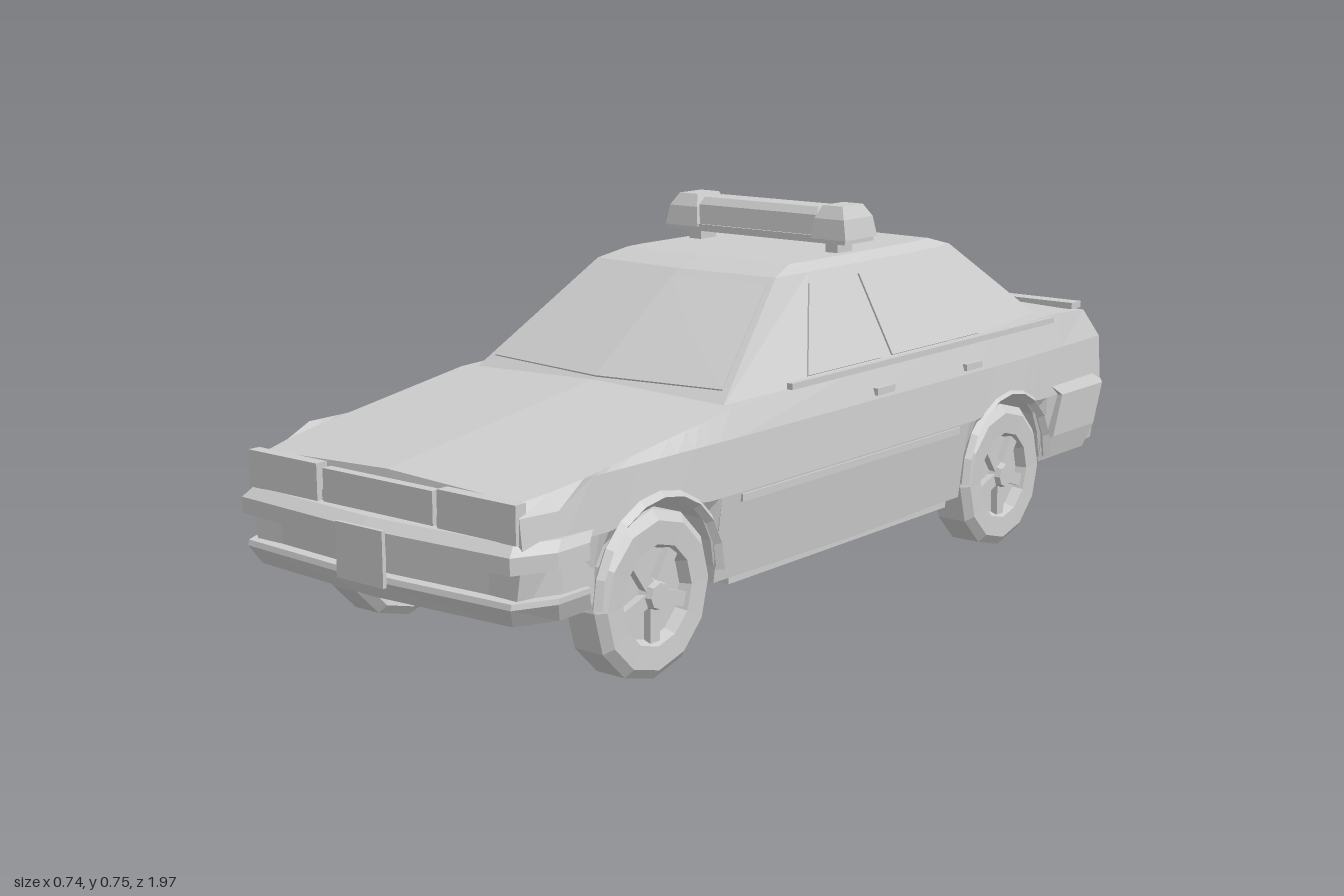
import * as THREE from 'three';

const paint = new THREE.MeshStandardMaterial({ color: 0xcccccc });
paint.name = 'light grey';

function add(parent, name, geometry, x = 0, y = 0, z = 0) {
  const flat = geometry.index ? geometry.toNonIndexed() : geometry;
  flat.computeVertexNormals();
  const mesh = new THREE.Mesh(flat, paint);
  mesh.name = name;
  mesh.position.set(x, y, z);
  parent.add(mesh);
  return mesh;
}

const box = (parent, name, w, h, d, x, y, z) => add(parent, name, new THREE.BoxGeometry(w, h, d), x, y, z);

// Closed solid through rings of [x, y, z]; winding is turned outward by its volume
function loft(rings) {
  const tris = [], n = rings[0].length;
  for (let i = 0; i < rings.length - 1; i++) {
    for (let j = 0; j < n; j++) {
      const k = (j + 1) % n;
      const a = rings[i][j], b = rings[i][k], c = rings[i + 1][k], d = rings[i + 1][j];
      tris.push([a, b, c], [a, c, d]);
    }
  }
  const cap = (ring, flip) => {
    const mid = [0, 1, 2].map(q => ring.reduce((s, p) => s + p[q], 0) / n);
    ring.forEach((p, j) => {
      const r = ring[(j + 1) % n];
      tris.push(flip ? [mid, r, p] : [mid, p, r]);
    });
  };
  cap(rings[0], true);
  cap(rings[rings.length - 1], false);
  const v = p => new THREE.Vector3(...p);
  const volume = tris.reduce((s, [a, b, c]) => s + v(a).dot(v(b).cross(v(c))), 0);
  const pos = tris.flatMap(([a, b, c]) => (volume < 0 ? [a, c, b] : [a, b, c]).flat());
  const g = new THREE.BufferGeometry();
  g.setAttribute('position', new THREE.Float32BufferAttribute(pos, 3));
  return g;
}

// Thin plate on a four-cornered face
function plate(corners, half = 0.004) {
  const [a, b, , d] = corners.map(p => new THREE.Vector3(...p));
  const n = b.sub(a).cross(d.sub(a)).normalize().toArray();
  const shift = s => corners.map(p => p.map((q, i) => q + s * half * n[i]));
  return loft([shift(-1), shift(1)]);
}

// Linear lookup in a table of [z, value], z descending
function at(table, z) {
  for (let i = 1; i < table.length; i++) {
    const [z0, v0] = table[i - 1], [z1, v1] = table[i];
    if (z >= z1) return v0 + (v1 - v0) * Math.min(1, Math.max(0, (z0 - z) / (z0 - z1)));
  }
  return table[table.length - 1][1];
}

// Mirror half a plan outline of [x, z] that starts and ends on the centre line
const mirrored = half => [...half, ...half.slice(1, -1).reverse().map(([x, z]) => [-x, z])];

const WHEELS = [0.6, -0.54];
const WIDTH = [[0.92, 0.335], [0.8, 0.355], [0.4, 0.362], [-0.6, 0.362], [-0.955, 0.345]];
const SHOULDER = [[0.9, 0.375], [0.38, 0.448], [0, 0.46], [-0.78, 0.472], [-0.915, 0.462]];

function bodyShell() {
  const stations = [[0.92, 0.18], [0.84, 0.17]];
  WHEELS.forEach((c, w) => {
    stations.push([c + 0.165, w ? 0.14 : 0.165]);
    for (let i = 0; i <= 10; i++) {
      const a = i * Math.PI / 10;
      stations.push([c + 0.165 * Math.cos(a), 0.17 + 0.165 * Math.sin(a)]);
    }
    stations.push([c - 0.165, w ? 0.155 : 0.14]);
    if (!w) stations.push([0.38, 0.14], [0, 0.135], [-0.3, 0.14]);
  });
  stations.push([-0.78, 0.155], [-0.955, 0.165]);
  return loft(stations.map(([z, b]) => {
    const w = at(WIDTH, z), zs = Math.min(0.9, Math.max(-0.915, z)), y = at(SHOULDER, zs);
    const side = [[w - 0.02, b, z], [w, Math.max(b, 0.3), z], [w - 0.006, Math.max(b, 0.4) - (z > 0.8 ? 0.045 : 0), z], [w - 0.025, y, zs]];
    return [...side, [0, y + 0.012, zs], ...side.map(([x, v, q]) => [-x, v, q]).reverse()];
  }));
}

function cabin(car) {
  const base = [[0, 0.39], [0.31, 0.37], [0.335, 0.15], [0.335, -0.5], [0.3, -0.79], [0, -0.8]];
  const top = [[0, 0.115], [0.225, 0.1], [0.228, 0], [0.228, -0.42], [0.215, -0.52], [0, -0.53]];
  const roof = [[0, 0.04], [0.205, 0.03], [0.21, -0.02], [0.21, -0.4], [0.2, -0.46], [0, -0.47]];
  const ring = (half, y) => mirrored(half).map(([x, z]) => [x, y, z]);
  const g = new THREE.Group();
  g.name = 'cabin';
  car.add(g);
  add(g, 'cabinShell', loft([ring(base, 0.445), ring(top, 0.643), ring(roof, 0.66)]));
  const mix = (i, t, s) => [
    s * (base[i][0] + t * (top[i][0] - base[i][0])) * 0.95,
    0.445 + t * 0.198,
    base[i][1] + t * (top[i][1] - base[i][1])];
  for (const s of [1, -1]) {
    for (const [name, i, j] of [['windscreen', 0, 1], ['rearWindow', 5, 4]]) {
      add(g, name, plate([mix(i, 0.1, s), mix(j, 0.12, s), mix(j, 0.93, s), mix(i, 0.93, s)]));
    }
    // Side glass lies on the leaning plane between sill and roof
    const p = (t, z) => [s * (0.335 - 0.107 * t), 0.445 + 0.198 * t, z];
    add(g, 'frontSideWindow', plate([p(0.12, 0.13), p(0.12, -0.11), p(0.9, -0.11), p(0.9, 0.015)]));
    add(g, 'rearSideWindow', plate([p(0.12, -0.15), p(0.12, -0.47), p(0.9, -0.42), p(0.9, -0.15)]));
    box(g, 'beltMoulding', 0.012, 0.012, 0.95, s * 0.338, 0.463, -0.27);
  }
}

function bumper(half, levels) {
  return loft(levels.map(([y, k, dz]) => mirrored(half).map(([x, z], i) => {
    const inner = i === 0;
    return [x * k, y, inner ? z : z + dz];
  })));
}

function wheel(car, z, s, name) {
  const g = new THREE.Group();
  g.name = name;
  g.position.set(s * 0.307, 0.157, z);
  g.rotation.z = -s * Math.PI / 2;
  car.add(g);
  const profile = [[0, -0.035], [0.09, -0.035], [0.135, -0.046], [0.153, -0.032], [0.153, 0.032], [0.135, 0.046],
    [0.092, 0.044], [0.084, 0.022], [0, 0.022]].map(p => new THREE.Vector2(...p));
  add(g, 'tyre', new THREE.LatheGeometry(profile, 12));
  add(g, 'hub', new THREE.CylinderGeometry(0.024, 0.032, 0.03, 8), 0, 0.034, 0);
  for (let i = 0; i < 5; i++) {
    const a = i * Math.PI * 0.4;
    box(g, 'spoke', 0.065, 0.016, 0.026, Math.cos(a) * 0.053, 0.029, -Math.sin(a) * 0.053).rotation.y = a;
  }
}

function lightBar(car) {
  const g = new THREE.Group();
  g.name = 'lightBar';
  g.position.set(0, 0, -0.175);
  car.add(g);
  box(g, 'barBase', 0.45, 0.014, 0.1, 0, 0.688, 0);
  const rect = (x0, x1, y, d) => [[x0, y, d], [x1, y, d], [x1, y, -d], [x0, y, -d]];
  add(g, 'barCentre', loft([rect(-0.15, 0.15, 0.695, 0.045), rect(-0.15, 0.15, 0.735, 0.042), rect(-0.145, 0.145, 0.75, 0.03)]));
  for (const s of [1, -1]) {
    add(g, 'barLamp', loft([rect(s * 0.145, s * 0.23, 0.69, 0.055), rect(s * 0.15, s * 0.222, 0.73, 0.05), rect(s * 0.16, s * 0.208, 0.755, 0.035)]));
    box(g, 'barFoot', 0.03, 0.04, 0.05, s * 0.175, 0.67, 0);
  }
}

function underside(car) {
  const g = new THREE.Group();
  g.name = 'underside';
  car.add(g);
  box(g, 'floorPan', 0.46, 0.17, 1.55, 0, 0.235, 0.02);
  box(g, 'engineTray', 0.1, 0.08, 0.2, 0, 0.162, 0.72);
  box(g, 'gearbox', 0.12, 0.05, 0.3, 0, 0.145, 0.3);
  box(g, 'silencer', 0.13, 0.04, 0.2, -0.12, 0.15, -0.75);
  for (const s of [1, -1]) {
    box(g, 'chassisRail', 0.035, 0.025, 0.75, s * 0.19, 0.137, 0.04);
    box(g, 'sill', 0.03, 0.03, 0.72, s * 0.325, 0.142, 0.03);
  }
  for (const z of WHEELS) {
    add(g, 'axle', new THREE.CylinderGeometry(0.018, 0.018, 0.56, 6), 0, 0.157, z).rotation.z = Math.PI / 2;
  }
  add(g, 'exhaustPipe', new THREE.CylinderGeometry(0.014, 0.014, 0.85, 6), -0.08, 0.14, -0.23).rotation.x = Math.PI / 2;
}

export function createModel() {
  const car = new THREE.Group();
  car.name = 'car';
  add(car, 'bodyShell', bodyShell());
  cabin(car);
  lightBar(car);
  underside(car);

  // Bumpers wrap round the corners
  const front = [[0, 0.8], [0.365, 0.79], [0.367, 0.87], [0.33, 0.945], [0, 0.965]];
  const rear = [[0, -0.78], [0.367, -0.75], [0.365, -0.93], [0.335, -0.975], [0, -0.998]];
  add(car, 'frontBumperBeam', bumper(front, [[0.265, 1, 0], [0.295, 1, 0], [0.312, 0.97, -0.02]]));
  add(car, 'frontBumperCore', bumper(front, [[0.18, 0.95, -0.03], [0.28, 0.95, -0.03]]));
  add(car, 'frontBumperLip', bumper(front, [[0.17, 0.94, -0.025], [0.205, 0.985, -0.005], [0.215, 0.985, -0.008]]));
  add(car, 'rearBumper', bumper(rear, [[0.16, 0.95, 0.05], [0.21, 0.985, 0.025], [0.3, 1, 0], [0.32, 0.97, 0.025]]));

  // Nose and tail details
  box(car, 'frontPlate', 0.115, 0.1, 0.008, 0, 0.25, 0.965);
  box(car, 'grille', 0.27, 0.06, 0.02, 0, 0.343, 0.915);
  box(car, 'rearPlate', 0.16, 0.07, 0.008, 0, 0.375, -0.953).rotation.x = 0.28;
  box(car, 'tailSpoiler', 0.62, 0.014, 0.04, 0, 0.473, -0.9);
  for (const s of [1, -1]) {
    box(car, 'headlamp', 0.18, 0.068, 0.025, s * 0.238, 0.345, 0.915);
    box(car, 'tailLamp', 0.2, 0.08, 0.01, s * 0.215, 0.385, -0.948).rotation.x = 0.28;
    box(car, 'sideMoulding', 0.01, 0.014, 0.72, s * 0.361, 0.29, 0.02);
    for (const z of [-0.08, -0.4]) box(car, 'doorHandle', 0.012, 0.014, 0.06, s * 0.354, 0.415, z);
    WHEELS.forEach((z, i) => {
      wheel(car, z, s, i ? 'rearWheel' : 'frontWheel');
      add(car, 'archLip', new THREE.TorusGeometry(0.165, 0.011, 4, 10, Math.PI), s * 0.357, 0.17, z).rotation.y = Math.PI / 2;
    });
  }
  return car;
}
